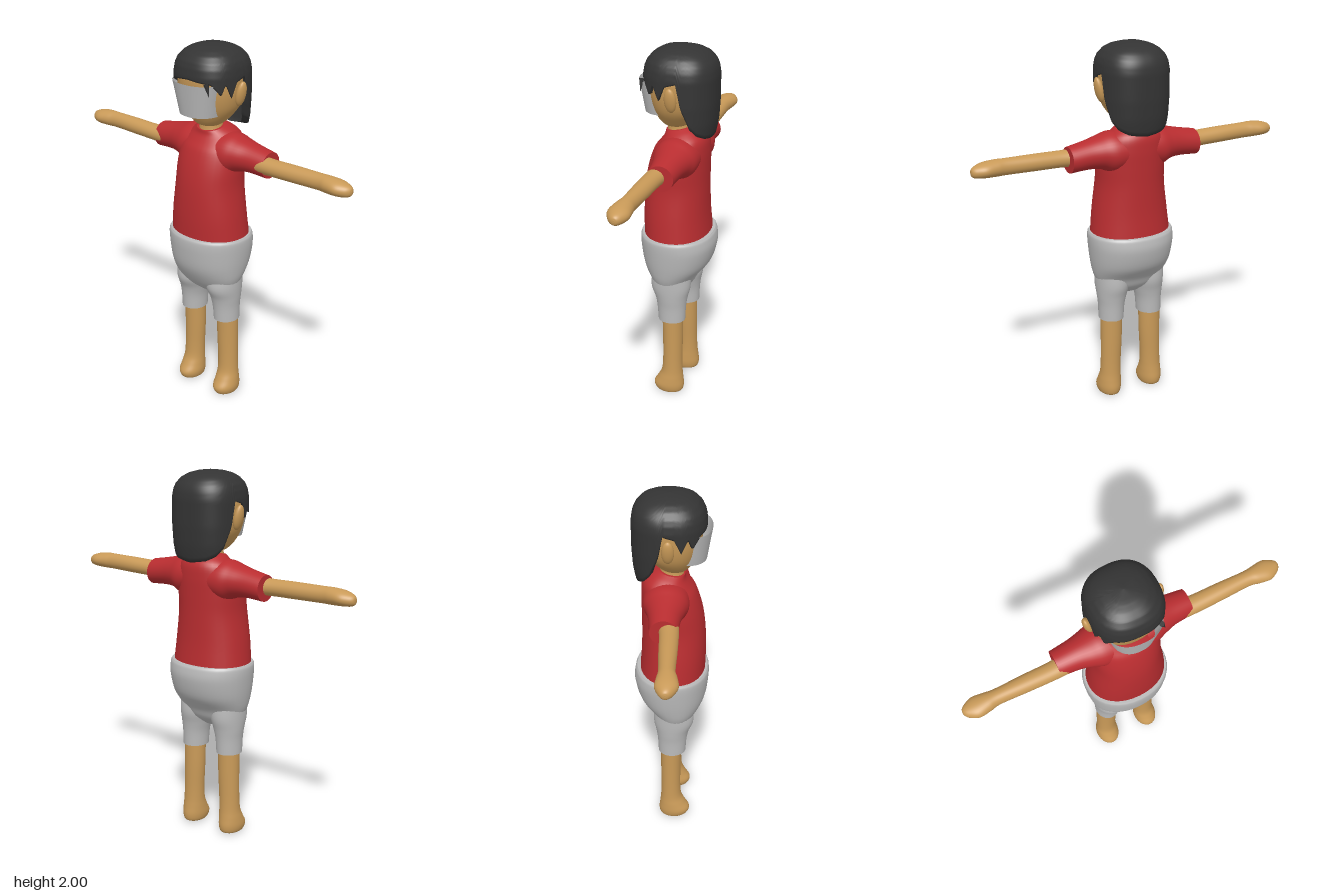
import * as THREE from 'three';
import { mergeVertices } from 'three/addons/utils/BufferGeometryUtils.js';

const material = (name, color, side = THREE.FrontSide) => {
  const m = new THREE.MeshStandardMaterial({ color, side });
  m.name = name;
  return m;
};

// Squared-off circle: p = 2 is round, larger is boxier
const sq = (v, p) => Math.sign(v) * Math.abs(v) ** (2 / p);

// Smooth capped loft upwards through sections [y, centreX, centreZ, radiusX, radiusZ]
function loft(sections, p = 2, n = 36, perSection = 5) {
  const centres = new THREE.CatmullRomCurve3(
    sections.map(([y, x, z]) => new THREE.Vector3(x, y, z)), false, 'catmullrom');
  const radii = new THREE.CatmullRomCurve3(
    sections.map(s => new THREE.Vector3(s[3], 0, s[4])), false, 'catmullrom');
  const rows = (sections.length - 1) * perSection;
  const pos = [], index = [];
  const ring = (t) => {
    const c = centres.getPoint(t), r = radii.getPoint(t);
    for (let j = 0; j < n; j++) {
      const a = j / n * Math.PI * 2;
      pos.push(c.x + r.x * sq(Math.sin(a), p), c.y, c.z + r.z * sq(Math.cos(a), p));
    }
    return c;
  };
  for (let i = 0; i <= rows; i++) ring(i / rows);
  for (let i = 0; i < rows; i++) {
    for (let j = 0; j < n; j++) {
      const k = (j + 1) % n, a = i * n + j, b = i * n + k;
      index.push(a, b, b + n, a, b + n, a + n);
    }
  }
  for (const t of [0, 1]) {
    const start = pos.length / 3, c = ring(t), mid = pos.length / 3;
    pos.push(c.x, c.y, c.z);
    for (let j = 0; j < n; j++) {
      const a = start + j, b = start + (j + 1) % n;
      index.push(mid, t ? a : b, t ? b : a);
    }
  }
  const g = new THREE.BufferGeometry();
  g.setAttribute('position', new THREE.Float32BufferAttribute(pos, 3));
  g.setIndex(index);
  g.computeVertexNormals();
  return g;
}

// Sideways loft with sections [x, centreY, centreZ, radiusY, radiusZ]; side is 1 or -1
const sideLoft = (sections, side) =>
  loft(sections.map(([x, y, z, ry, rz]) => [x, -side * y, z, ry, rz])).rotateZ(-side * Math.PI / 2);

// Bends a grid into a surface by a rule f(u, v) -> [x, y, z]
function surface(nu, nv, f) {
  const g = new THREE.PlaneGeometry(1, 1, nu, nv);
  const p = g.attributes.position;
  for (let i = 0; i < p.count; i++) p.setXYZ(i, ...f(p.getX(i) + 0.5, p.getY(i) + 0.5));
  g.deleteAttribute('uv');
  g.deleteAttribute('normal');
  const merged = mergeVertices(g, 1e-5);
  merged.computeVertexNormals();
  return merged;
}

// Straight-line lookup in a table of [key, value]
function lookup(table, key) {
  const i = Math.max(1, table.findIndex(e => e[0] >= key));
  const [a, b] = [table[i - 1], table[i]];
  return THREE.MathUtils.mapLinear(key, a[0], b[0], a[1], b[1]);
}

export function createModel() {
  const model = new THREE.Group();
  const skin = material('skin', 0xc99a58);
  const red = material('red cloth', 0xb92d30);
  const grey = material('grey cloth', 0xbbbbbb, THREE.DoubleSide);
  const dark = material('dark hair', 0x343434, THREE.DoubleSide);
  const add = (name, geometry, mat) => {
    const mesh = new THREE.Mesh(geometry, mat);
    mesh.name = name;
    model.add(mesh);
    return mesh;
  };

  // Shirt body, with the neckline raised towards the back
  const shirt = loft([
    [0.96, 0, 0.005, 0.222, 0.176], [1.1, 0, 0.012, 0.207, 0.172], [1.25, 0, 0.01, 0.187, 0.167],
    [1.36, 0, 0, 0.185, 0.158], [1.45, 0, -0.015, 0.178, 0.143], [1.505, 0, -0.027, 0.155, 0.122],
    [1.54, 0, -0.018, 0.115, 0.092], [1.565, 0, 0, 0.075, 0.07],
  ], 2.15);
  const sp = shirt.attributes.position;
  for (let i = 0; i < sp.count; i++) {
    const lift = THREE.MathUtils.smoothstep(sp.getY(i), 1.45, 1.565);
    sp.setY(i, sp.getY(i) - 0.2 * lift * sp.getZ(i));
  }
  shirt.computeVertexNormals();
  add('shirt', shirt, red);

  // Shorts: seat and two legs
  add('shortsSeat', loft([
    [0.61, 0, 0.01, 0.06, 0.03], [0.66, 0, 0.012, 0.165, 0.09], [0.72, 0, 0.018, 0.203, 0.128],
    [0.8, 0, 0.006, 0.222, 0.178], [0.9, 0, 0, 0.234, 0.2], [0.96, 0, 0.003, 0.236, 0.199],
    [0.98, 0, 0.004, 0.229, 0.19],
  ], 2.15), grey);

  for (const side of [1, -1]) {
    const label = side > 0 ? 'left' : 'right';
    const mirror = rows => rows.map(([y, x, ...rest]) => [y, side * x, ...rest]);

    add(label + 'ShortsLeg', loft(mirror([
      [0.47, 0.118, 0.005, 0.068, 0.075], [0.55, 0.116, 0.006, 0.072, 0.08],
      [0.61, 0.112, 0.008, 0.082, 0.09], [0.68, 0.105, 0.014, 0.094, 0.11], [0.78, 0.1, 0.01, 0.1, 0.1],
    ])), grey);

    // Leg flowing into the foot
    add(label + 'Leg', loft(mirror([
      [0, 0.13, 0.015, 0.042, 0.058], [0.012, 0.13, 0.016, 0.058, 0.078], [0.045, 0.13, 0.018, 0.066, 0.086],
      [0.09, 0.129, 0.008, 0.063, 0.071], [0.14, 0.127, 0, 0.058, 0.058], [0.22, 0.125, -0.002, 0.057, 0.054],
      [0.35, 0.121, -0.002, 0.06, 0.055], [0.5, 0.12, 0, 0.062, 0.056],
    ])), skin);

    add(label + 'Sleeve', sideLoft([
      [0.06, 1.44, -0.025, 0.1, 0.12], [0.14, 1.435, -0.025, 0.108, 0.118], [0.2, 1.44, -0.025, 0.088, 0.1],
      [0.27, 1.436, -0.028, 0.076, 0.082], [0.375, 1.423, -0.03, 0.069, 0.071],
    ], side), red);

    // Arm ending in a mitten hand
    add(label + 'Arm', sideLoft([
      [0.3, 1.425, -0.01, 0.05, 0.055], [0.4, 1.427, -0.002, 0.044, 0.049], [0.55, 1.43, -0.002, 0.044, 0.046],
      [0.7, 1.432, -0.002, 0.043, 0.041], [0.76, 1.432, 0, 0.043, 0.05], [0.82, 1.43, 0, 0.039, 0.057],
      [0.865, 1.426, -0.002, 0.031, 0.038], [0.885, 1.425, -0.004, 0.02, 0.02], [0.89, 1.425, -0.004, 0.006, 0.006],
    ], side), skin);

    const ear = add(label + 'Ear', new THREE.SphereGeometry(1, 20, 16), skin);
    ear.scale.set(0.022, 0.068, 0.032);
    ear.position.set(side * 0.187, 1.765, -0.015);
    ear.rotation.z = -side * 0.22;
  }

  // Neck and head
  add('neck', loft([
    [1.52, 0, 0, 0.075, 0.068], [1.57, 0, 0, 0.061, 0.062], [1.66, 0, 0, 0.06, 0.06],
  ]), skin);
  add('head', loft([
    [1.57, 0, 0.015, 0.03, 0.03], [1.585, 0, 0.016, 0.07, 0.065], [1.625, 0, 0.01, 0.115, 0.1],
    [1.69, 0, 0, 0.157, 0.137], [1.78, 0, 0, 0.176, 0.157], [1.88, 0, 0, 0.17, 0.155], [1.95, 0, 0, 0.1, 0.1],
  ], 2.2), skin);

  // Hair: dome with a ragged fringe, open at the ears and long at the back
  const hairEdge = [
    [0, 1.845], [38, 1.83], [48, 1.8], [56, 1.77], [64, 1.83], [75, 1.755], [84, 1.83], [96, 1.85],
    [103, 1.72], [117, 1.615], [130, 1.575], [150, 1.55], [181, 1.535],
  ];
  const hairWidth = [
    [1.5, 0.84], [1.56, 0.92], [1.62, 0.97], [1.72, 1], [1.86, 1], [1.9, 0.965], [1.93, 0.9],
    [1.96, 0.76], [1.98, 0.58], [1.992, 0.36], [2, 0],
  ];
  add('hair', surface(120, 32, (u, v) => {
    const a = (u - 0.5) * Math.PI * 2;
    const edge = lookup(hairEdge, Math.abs(a) * 180 / Math.PI);
    const lip = v === 0;
    const w = lip ? 0 : (v * 32 - 1) / 31;
    const y = 2 - (2 - edge) * (1 - w) ** 1.6;
    const r = lookup(hairWidth, y) * (lip ? 0.8 : 1);
    return [0.187 * r * sq(Math.sin(a), 2.4), lip ? y + 0.012 : y, -0.012 + 0.192 * r * sq(Math.cos(a), 2.4)];
  }), dark);

  // Stray lock over the visor
  const lock = add('strayLock', new THREE.ConeGeometry(0.014, 0.07, 8), dark);
  lock.position.set(0.122, 1.805, 0.165);
  lock.rotation.z = Math.PI + 0.3;

  // Curved face shield, narrower at the bottom
  add('visor', surface(32, 4, (u, v) => {
    const a = (u - 0.5) * Math.PI;
    const half = THREE.MathUtils.lerp(0.112, 0.142, v);
    const back = THREE.MathUtils.lerp(0.068, 0.095, v);
    return [half * sq(Math.sin(a), 2.3), 1.65 + 0.175 * v, back + 0.112 * sq(Math.cos(a), 2.3)];
  }), grey);

  return model;
}
